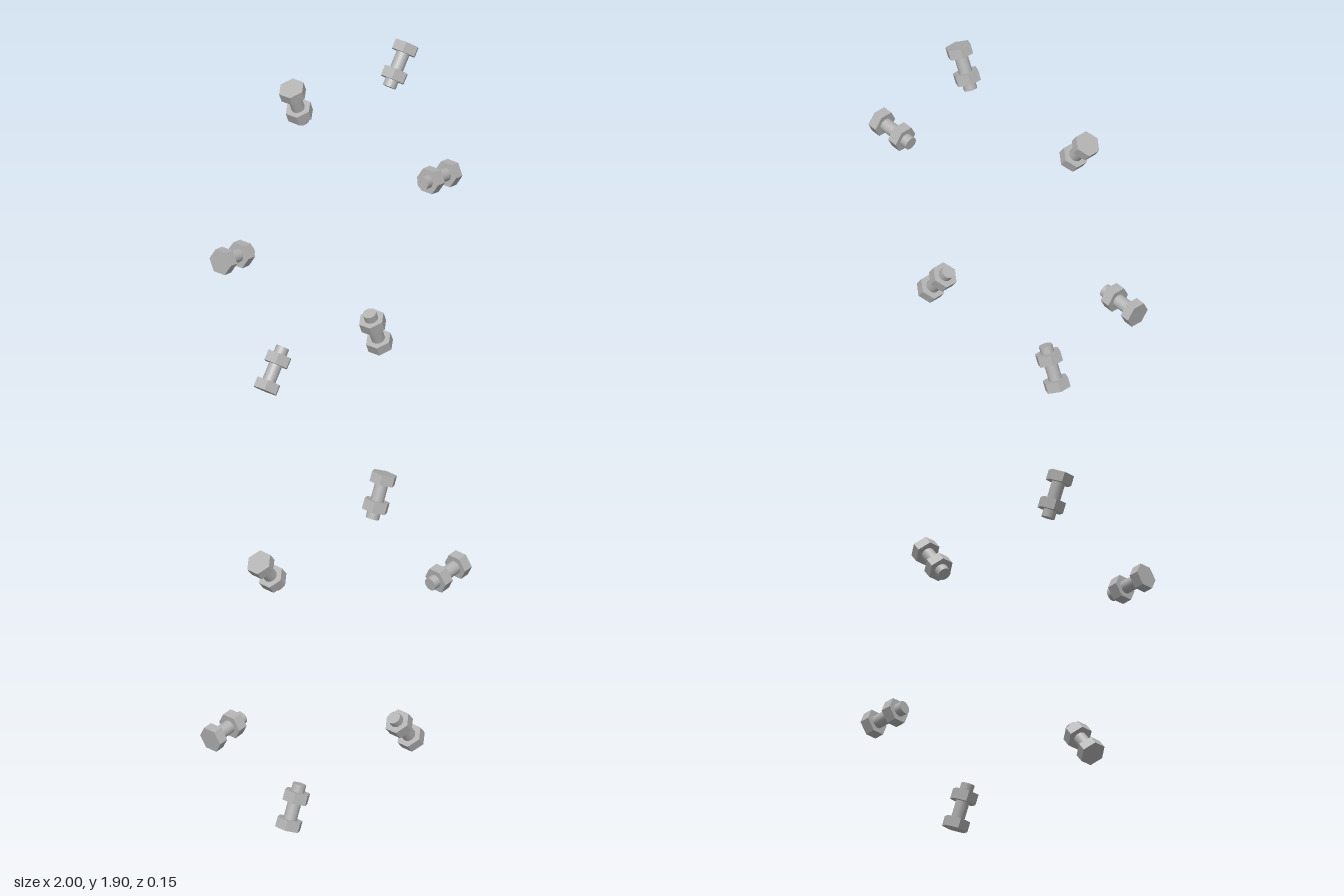
import * as THREE from 'three';

const CENTRE_Y = 0.948;
const HEX_RADIUS = 0.073;

// Flat-faced hexagonal prism along y, corners towards +z and -z
function hexPrism(height) {
  const g = new THREE.CylinderGeometry(HEX_RADIUS, HEX_RADIUS, height, 6).toNonIndexed();
  g.computeVertexNormals();
  return g;
}

export function createModel() {
  const steel = new THREE.MeshStandardMaterial({ color: 0xb2b2b2 });
  steel.name = 'steel grey';

  // y of each part is its distance from the ring centre
  const parts = [
    ['boltHead', hexPrism(0.055), 0.9725],
    ['nut', hexPrism(0.058), 0.819],
    ['shank', new THREE.CylinderGeometry(0.0365, 0.0365, 0.212, 32), 0.854],
  ];

  // Six bolts in a ring, heads facing outwards
  const model = new THREE.Group();
  model.name = 'boltCircle';
  for (let i = 0; i < 6; i++) {
    const bolt = new THREE.Group();
    bolt.name = `bolt${i + 1}`;
    for (const [name, geometry, y] of parts) {
      const mesh = new THREE.Mesh(geometry, steel);
      mesh.name = name;
      mesh.position.y = y;
      bolt.add(mesh);
    }
    bolt.position.y = CENTRE_Y;
    bolt.rotation.z = THREE.MathUtils.degToRad(-7.5 + 60 * i - 90);
    model.add(bolt);
  }
  return model;
}
